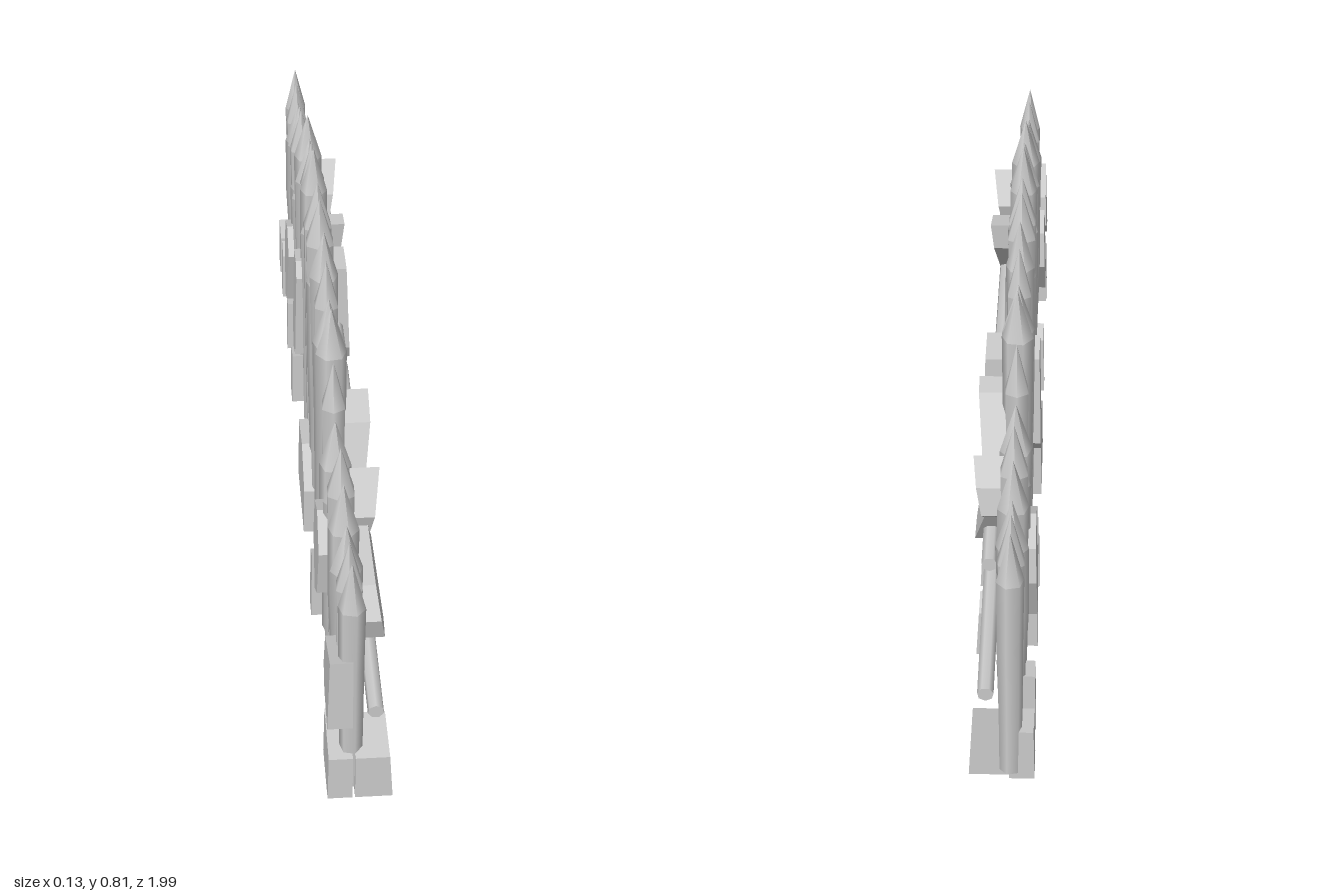
import * as THREE from 'three';

const wood = new THREE.MeshStandardMaterial({ color: 0xcccccc });
const stone = new THREE.MeshStandardMaterial({ color: 0xcccccc, flatShading: true });

// Sharpened stake: tapered shaft with a pointed tip
function makeStake(z, height, radius, turn) {
  const stake = new THREE.Group();
  stake.name = 'stake';
  const foot = 0.015, tip = 0.11, shaft = height - tip - foot;
  const body = new THREE.Mesh(new THREE.CylinderGeometry(radius, radius * 0.82, shaft, 6, 3), wood);
  body.name = 'stakeShaft';
  body.position.y = foot + shaft / 2;
  // slight hand-hewn waviness of the shaft
  const p = body.geometry.attributes.position;
  for (let i = 0; i < p.count; i++) {
    if (Math.abs(p.getY(i)) < shaft * 0.4) {
      p.setZ(i, p.getZ(i) + 0.003 * Math.sin(z * 37 + p.getY(i) * 20));
    }
  }
  const point = new THREE.Mesh(new THREE.ConeGeometry(radius, tip, 6), wood);
  point.name = 'stakeTip';
  point.position.y = height - tip / 2;
  stake.add(body, point);
  stake.position.set(-0.017, 0, z);
  stake.rotation.y = turn;
  return stake;
}

// Round rail between two (z, y) points
function makeRail(z0, y0, z1, y1, radius) {
  const a = new THREE.Vector3(0.03, y0, z0), b = new THREE.Vector3(0.03, y1, z1);
  const dir = b.clone().sub(a);
  const rail = new THREE.Mesh(new THREE.CylinderGeometry(radius, radius * 0.9, dir.length(), 7), wood);
  rail.name = 'rail';
  rail.position.copy(a).add(b).multiplyScalar(0.5);
  rail.quaternion.setFromUnitVectors(new THREE.Vector3(0, 1, 0), dir.normalize());
  return rail;
}

// Stone slab: outline as [-z, y] corners, spanning x0..x1; the outward face leans by tilt
function makeSlab(name, outline, x0, x1, tilt = 0) {
  const shape = new THREE.Shape(outline.map(([s, y]) => new THREE.Vector2(s, y)));
  const geo = new THREE.ExtrudeGeometry(shape, { depth: x1 - x0, bevelEnabled: false });
  const ys = outline.map((c) => c[1]);
  const low = Math.min(...ys), span = Math.max(...ys) - low;
  const p = geo.attributes.position;
  for (let i = 0; i < p.count; i++) {
    const outer = x1 > 0.03 ? p.getZ(i) > 0.001 : p.getZ(i) < 0.001;
    if (!outer) continue;
    let t = (p.getY(i) - low) / span;
    if (tilt < 0) t = 1 - t;
    const cut = Math.abs(tilt) * t * (x1 - x0);
    p.setZ(i, p.getZ(i) + (x1 > 0.03 ? -cut : cut));
  }
  geo.translate(0, 0, x0);
  geo.rotateY(Math.PI / 2);
  geo.computeVertexNormals();
  const slab = new THREE.Mesh(geo, stone);
  slab.name = name;
  return slab;
}

const block = (s0, s1, hl, hr) => [[s0, 0], [s1, 0], [s1, hr], [s0, hl]];

export function createModel() {
  const model = new THREE.Group();
  model.name = 'palisadeWall';

  // Stakes, mirrored front to back: [z, height, radius]
  const stakes = [
    [0.965, 0.59, 0.027], [0.9, 0.585, 0.029], [0.83, 0.565, 0.033], [0.75, 0.6, 0.032],
    [0.675, 0.63, 0.031], [0.61, 0.555, 0.032], [0.525, 0.58, 0.034], [0.467, 0.685, 0.027],
    [0.398, 0.77, 0.033], [0.33, 0.745, 0.035], [0.248, 0.785, 0.028], [0.176, 0.81, 0.031],
    [0.104, 0.745, 0.035], [0.035, 0.805, 0.034],
  ];
  stakes.forEach(([z, h, r], i) => {
    for (const side of [1, -1]) model.add(makeStake(side * z, h, r, side * (i * 0.7 + 0.3)));
  });

  // Rails
  model.add(
    makeRail(0.74, 0.345, 0.02, 0.352, 0.018),
    makeRail(-0.745, 0.345, -0.025, 0.352, 0.018),
    makeRail(0.985, 0.222, 0.265, 0.245, 0.018),
    makeRail(-0.985, 0.22, -0.265, 0.245, 0.018),
  );

  // Stone blocks at the foot of the +x side: [-z start, -z end, heights]
  const outerBlocks = [
    [-1, -0.89, 0.11, 0.125], [-0.6, -0.53, 0.13, 0.11], [0.013, 0.115, 0.17, 0.175],
    [0.29, 0.38, 0.11, 0.155], [0.56, 0.61, 0.13, 0.11], [0.89, 0.97, 0.1, 0.13],
  ];
  for (const [a, b, hl, hr] of outerBlocks) {
    model.add(makeSlab('footBlock', block(a, b, hl, hr), -0.01, 0.065, 0.1));
  }

  // Stone blocks at the foot of the -x side
  const innerBlocks = [
    [-1, -0.87, 0.11, 0.12], [-0.47, -0.42, 0.17, 0.15], [-0.19, -0.09, 0.12, 0.18],
    [-0.09, 0.03, 0.18, 0.16], [0.31, 0.38, 0.14, 0.12], [0.54, 0.58, 0.14, 0.13],
    [0.78, 0.84, 0.13, 0.14], [0.9, 0.98, 0.11, 0.12],
  ];
  for (const [a, b, hl, hr] of innerBlocks) {
    model.add(makeSlab('footBlock', block(a, b, hl, hr), -0.065, -0.015, 0.05));
  }

  // Broken slabs leaning on the +x side
  const outerSlabs = [
    [[[-0.41, 0.18], [-0.37, 0.225], [-0.115, 0.21], [-0.1, 0.185], [-0.17, 0.13], [-0.29, 0.115], [-0.36, 0.12]], 0.25],
    [[[0.135, 0.51], [0.238, 0.505], [0.24, 0.3], [0.15, 0.25], [0.13, 0.29]], 0.15],
    [[[-0.675, 0.45], [-0.615, 0.53], [-0.55, 0.46], [-0.585, 0.345], [-0.645, 0.35]], -0.5],
    [[[-0.43, 0.5], [-0.34, 0.52], [-0.345, 0.455], [-0.48, 0.31], [-0.495, 0.34]], -0.4],
    [[[-0.88, 0.36], [-0.835, 0.415], [-0.675, 0.43], [-0.6, 0.34], [-0.755, 0.25], [-0.86, 0.3]], 0.45],
    [[[0.32, 0.515], [0.375, 0.51], [0.555, 0.34], [0.53, 0.295], [0.475, 0.33], [0.33, 0.43]], -0.4],
    [[[0.555, 0.455], [0.62, 0.52], [0.675, 0.48], [0.685, 0.42], [0.59, 0.34], [0.54, 0.365]], -0.5],
    [[[0.48, 0.34], [0.5, 0.4], [0.68, 0.425], [0.6, 0.3], [0.53, 0.305]], 0.45],
  ];
  for (const [outline, tilt] of outerSlabs) {
    model.add(makeSlab('leaningSlab', outline, 0.005, 0.065, tilt));
  }

  // Broken slabs on the -x side
  const innerSlabs = [
    [[0.13, 0.49], [0.16, 0.52], [0.235, 0.505], [0.24, 0.29], [0.2, 0.25], [0.14, 0.27]],
    [[-0.68, 0.36], [-0.61, 0.42], [-0.54, 0.39], [-0.53, 0.3], [-0.6, 0.2], [-0.66, 0.24]],
    [[-0.99, 0.36], [-0.87, 0.32], [-0.86, 0.24], [-0.9, 0.2], [-0.99, 0.185]],
    [[0.5, 0.31], [0.58, 0.35], [0.66, 0.32], [0.67, 0.24], [0.62, 0.12], [0.55, 0.15]],
  ];
  for (const outline of innerSlabs) {
    model.add(makeSlab('rearSlab', outline, -0.065, -0.015, 0.1));
  }

  return model;
}
